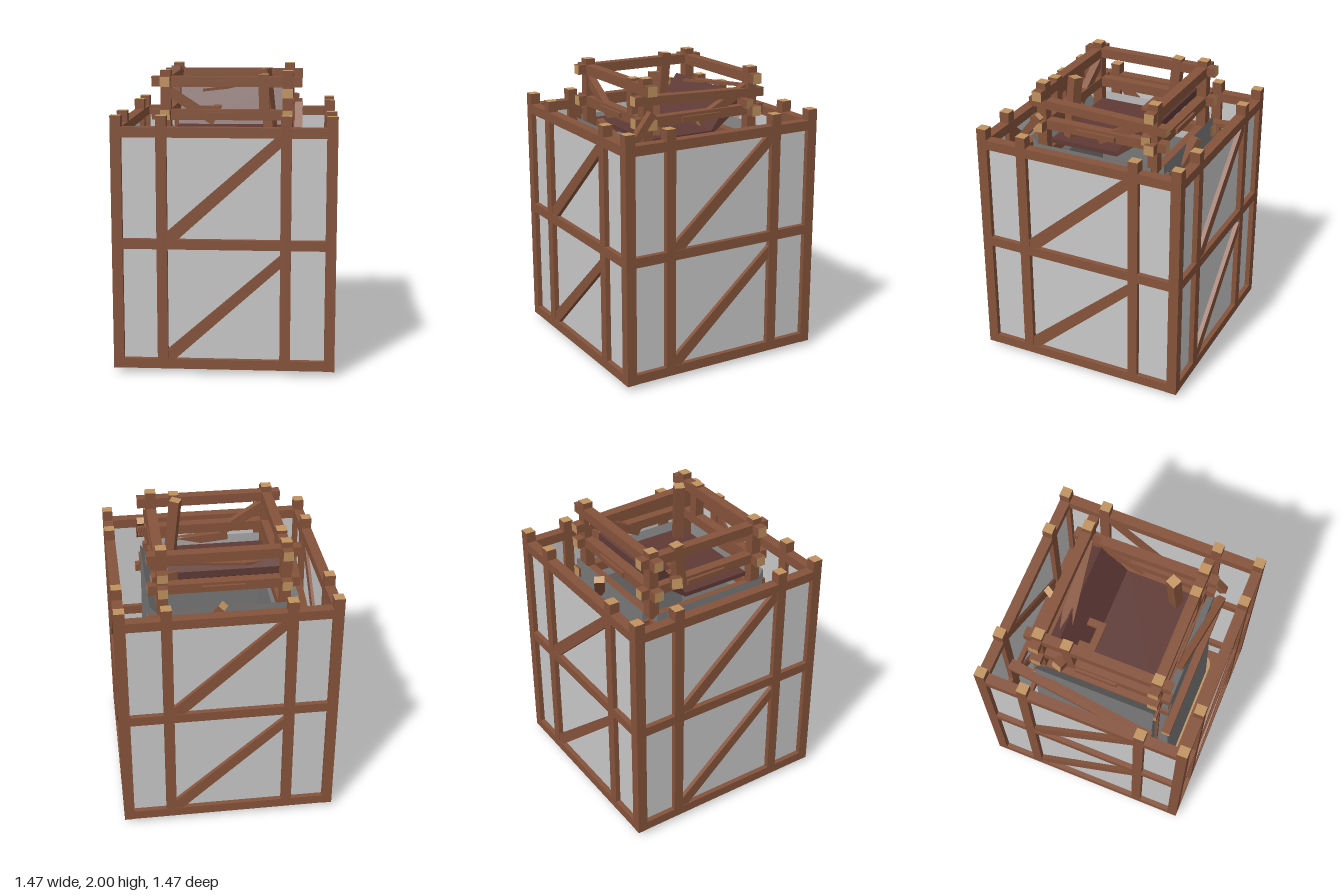
import * as THREE from 'three';

const mat = (name, color, side = THREE.FrontSide) => {
  const m = new THREE.MeshStandardMaterial({ color, side });
  m.name = name;
  return m;
};

export function createModel() {
  const wood = mat('wood', 0x85533b);
  const cutWood = mat('cut wood', 0xbf925f);
  const sheet = mat('sheet', 0xc8c8c8, THREE.DoubleSide);
  const stone = mat('stone', 0x777777, THREE.DoubleSide);
  const redFloor = mat('dark red', 0x5f3a35, THREE.DoubleSide);
  const model = new THREE.Group();

  const add = (parent, name, geo, material, x = 0, y = 0, z = 0) => {
    const m = new THREE.Mesh(geo, material);
    m.name = name;
    m.position.set(x, y, z);
    parent.add(m);
    return m;
  };
  const box = (parent, name, w, h, d, x, y, z, material = wood) =>
    add(parent, name, new THREE.BoxGeometry(w, h, d), material, x, y, z);
  // Timber running from a to b, with pale sawn ends
  const timber = (parent, name, a, b, w = 0.07, h = w, ends = cutWood) => {
    const p = new THREE.Vector3(...a), q = new THREE.Vector3(...b);
    const m = new THREE.Mesh(new THREE.BoxGeometry(w, h, p.distanceTo(q)), [wood, wood, wood, wood, ends, ends]);
    m.name = name;
    m.position.copy(p).add(q).multiplyScalar(0.5);
    m.lookAt(q);
    parent.add(m);
    return m;
  };
  const extrude = (points, depth) => new THREE.ExtrudeGeometry(
    new THREE.Shape(points.map(p => new THREE.Vector2(...p))), { depth, bevelEnabled: false });

  // Outer scaffold: four identical sides
  const R = 0.7;
  for (let i = 0; i < 4; i++) {
    const side = new THREE.Group();
    side.name = 'scaffoldSide';
    side.rotation.y = i * Math.PI / 2;
    model.add(side);
    timber(side, 'cornerPost', [-R, 0.035, R], [-R, 1.73, R]);
    for (const x of [-0.405, 0.405]) timber(side, 'scaffoldPost', [x, 0.04, R], [x, 1.73, R], 0.07);
    for (const y of [0.07, 0.885, 1.622]) box(side, 'rail', 1.34, 0.066, 0.07, 0, y, R);
    // Braces, mitred against the posts and rails
    add(side, 'upperBrace', extrude([[-0.375, 0.965], [-0.375, 0.918], [-0.3, 0.918], [0.375, 1.53],
      [0.375, 1.59], [0.335, 1.59]], 0.05), wood, 0, 0, R - 0.02);
    add(side, 'lowerBrace', extrude([[-0.375, 0.165], [-0.375, 0.1], [-0.325, 0.1], [0.375, 0.735],
      [0.375, 0.82]], 0.05), wood, 0, 0, R - 0.02);
    add(side, 'coverSheet', new THREE.PlaneGeometry(1.36, 1.56), sheet, 0, 0.845, R);
  }

  // Base with a pale rounded border
  box(model, 'footSlab', 1, 0.04, 1, 0, 0.02, 0, stone);
  const rounded = r => {
    const s = new THREE.Shape(), c = 0.1;
    s.absarc(r - c, r - c, c, 0, Math.PI / 2);
    s.absarc(c - r, r - c, c, Math.PI / 2, Math.PI);
    s.absarc(c - r, c - r, c, Math.PI, Math.PI * 1.5);
    s.absarc(r - c, c - r, c, Math.PI * 1.5, Math.PI * 2);
    return s;
  };
  box(model, 'baseUnderside', 1.2, 0.02, 1.2, 0, 0.05, 0, stone);
  box(model, 'base', 1.2, 0.04, 1.2, 0, 0.08, 0);
  const border = rounded(0.555);
  border.holes.push(new THREE.Path(rounded(0.5).getPoints(6).reverse()));
  for (const y of [0.035, 0.1])
    add(model, 'baseBorder', new THREE.ExtrudeGeometry(border, { depth: 0.008, bevelEnabled: false, curveSegments: 6 }),
      cutWood, 0, y, 0).rotation.x = -Math.PI / 2;

  // Tapered stone walls: [turn about y, foot distance, top distance]
  for (const [turn, foot, top] of [[0, 0.54, 0.49], [1, 0.5, 0.49], [2, 0.5, 0.48], [3, 0.57, 0.5]]) {
    const g = new THREE.Group();
    g.name = 'stoneWall';
    g.rotation.y = turn * Math.PI / 2;
    model.add(g);
    const m = add(g, 'stoneWallBody', extrude([[-foot, 0.1], [-0.36, 0.1], [-0.36, 1.4], [-top, 1.58]], 0.84), stone, -0.42);
    m.rotation.y = Math.PI / 2;
  }

  // Inner tower frame
  const P = 0.405;
  const tower = new THREE.Group();
  tower.name = 'towerFrame';
  model.add(tower);
  for (const x of [-P, P]) for (const z of [-P, P]) timber(tower, 'towerPost', [x, 0.1, z], [x, 2, z]);
  for (const y of [1.48, 1.705, 1.925]) {
    for (const s of [-P, P]) {
      timber(tower, 'crossBeam', [-0.5, y, s], [0.5, y, s], 0.068);
      if (y < 1.9 || s < 0) timber(tower, 'sideBeam', [s, y + 0.003, -0.498], [s, y + 0.003, 0.498], 0.066);
    }
  }
  timber(tower, 'slippedBeam', [P, 1.82, -0.5], [P, 1.855, 0.5], 0.07, 0.06);
  // Patch boards on the lower beams
  for (let i = 0; i < 4; i++) {
    const g = new THREE.Group();
    g.name = 'patchBoard';
    g.rotation.y = i * Math.PI / 2;
    tower.add(g);
    box(g, 'patch', 0.29, 0.036, 0.018, -0.005, 1.703, 0.447);
  }
  // Diagonal braces and stub posts
  timber(tower, 'frontBrace', [-0.39, 1.86, 0.4], [-0.08, 1.66, 0.4], 0.05, 0.06);
  timber(tower, 'sideBrace', [0.39, 1.86, -0.39], [0.39, 1.66, 0], 0.05, 0.06);
  timber(tower, 'leaningPost', [0.29, 1.58, 0.27], [0.245, 2, 0.25]);
  timber(tower, 'stubPost', [0.25, 1.72, P], [0.245, 1.975, P], 0.068);
  timber(tower, 'stubPost', [-P, 1.72, -0.19], [-P, 1.985, -0.215], 0.068);

  // Sunken red floor with its back edge heaved upward
  add(model, 'redFloor', extrude([[-0.37, 1.55], [0.12, 1.55], [0.37, 1.74], [0.37, 1.79], [0.3, 1.83],
    [0.12, 1.58], [-0.37, 1.58]], 0.76), redFloor, -0.38).rotation.y = Math.PI / 2;

  // Notched board lying on the floor
  add(model, 'notchedBoard', extrude([[-0.3, -0.08], [-0.08, -0.08], [-0.08, -0.2], [-0.13, -0.2], [-0.13, -0.13],
    [-0.25, -0.13], [-0.25, -0.2], [-0.3, -0.2]].map(([x, z]) => [x, -z]).reverse(), 0.02),
    wood, 0, 1.69, 0).rotation.x = -Math.PI / 2;
  // Splintered plank
  const splinter = add(model, 'splinteredPlank', extrude([[0.38, 0.39], [-0.15, 0.36], [-0.3, 0.32], [-0.1, 0.31],
    [-0.22, 0.26], [0.38, 0.36]], 0.02), wood, 0, 1.82, 0);
  splinter.rotation.set(-Math.PI / 2, -0.1, 0);

  // Fallen planks around the tower
  timber(model, 'fallenPlank', [-0.605, 1.4, 0.44], [-0.51, 1.5, -0.6], 0.07, 0.03, wood);
  timber(model, 'fallenPlank', [-0.14, 1.6, 0.46], [0.46, 1.5, 0.54], 0.05, 0.06, wood);
  timber(model, 'fallenPlank', [0.02, 1.62, -0.54], [0.12, 1.45, -0.48], 0.07, 0.05);
  timber(model, 'fallenPlank', [-0.49, 1.75, -0.26], [-0.43, 1.74, -0.24], 0.07);
  timber(model, 'fallenPlank', [0.47, 1.75, -0.37], [0.3, 1.77, -0.34], 0.06);
  timber(model, 'fallenPlank', [-0.53, 1.35, 0.52], [0.525, 1.35, 0.52], 0.06, 0.05);
  timber(model, 'fallenPlank', [0.48, 1.6, 0.54], [0.48, 1.78, 0.4], 0.05);
  return model;
}
